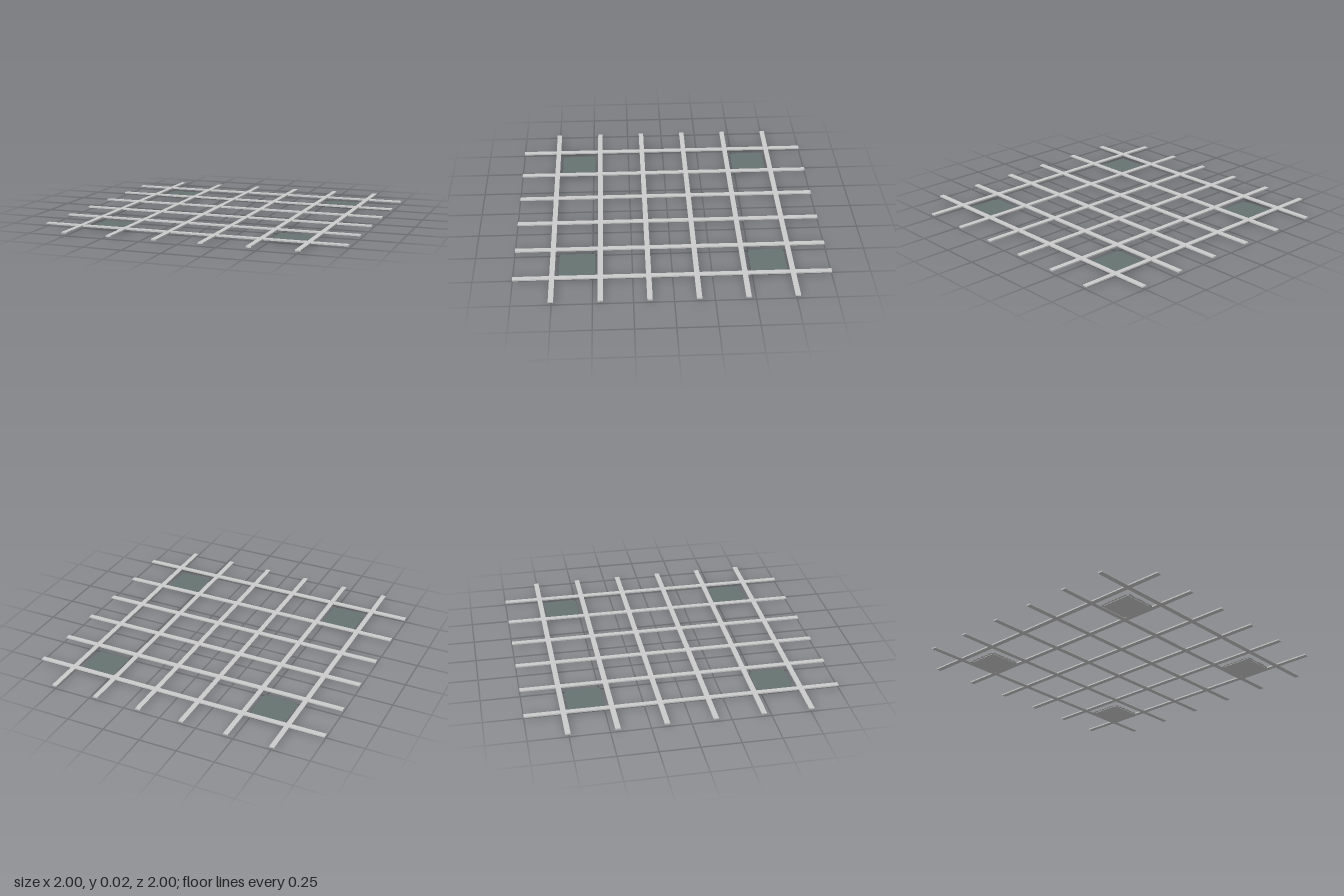
import * as THREE from 'three';

export function createModel() {
  const model = new THREE.Group();
  const grey = new THREE.MeshStandardMaterial({ color: 0xcccccc });
  const green = new THREE.MeshStandardMaterial({ color: 0x657370 });

  const barWidth = 0.033, barHeight = 0.009, barY = 0.0195;
  const spacing = 0.302, shiftZ = -0.001;
  const offsets = [-2.5, -1.5, -0.5, 0.5, 1.5, 2.5].map((i) => i * spacing);

  // Flat lattice: full-length bars across, short bars filling the gaps between them
  const lattice = new THREE.Group();
  lattice.name = 'lattice';
  const addBar = (name, width, depth, x, z) => {
    const bar = new THREE.Mesh(new THREE.BoxGeometry(width, barHeight, depth), grey);
    bar.name = name;
    bar.position.set(x, barY, z);
    lattice.add(bar);
  };
  const rows = offsets.map((o) => o + shiftZ);
  rows.forEach((z) => addBar('crossBar', 2, barWidth, 0, z));
  const starts = [-1, ...rows.map((z) => z + barWidth / 2)];
  const ends = [...rows.map((z) => z - barWidth / 2), 1];
  for (const x of offsets) {
    starts.forEach((z0, i) => addBar('lengthBar', barWidth, ends[i] - z0, x, (z0 + ends[i]) / 2));
  }
  model.add(lattice);

  // Rounded square plate lying flat, h = half its side
  const plate = (h, r, thickness) => {
    const outline = new THREE.Shape();
    outline.moveTo(h - r, -h);
    outline.absarc(h - r, -h + r, r, -Math.PI / 2, 0);
    outline.absarc(h - r, h - r, r, 0, Math.PI / 2);
    outline.absarc(-h + r, h - r, r, Math.PI / 2, Math.PI);
    outline.absarc(-h + r, -h + r, r, Math.PI, Math.PI * 1.5);
    outline.closePath();
    return new THREE.ExtrudeGeometry(outline, { depth: thickness, bevelEnabled: false, curveSegments: 5 })
      .rotateX(-Math.PI / 2);
  };

  // Thin pads in the four corner cells: inset grey foot, grey backing, green top
  const layers = [
    ['foot', plate(0.102, 0.015, 0.003), grey, 0],
    ['backing', plate(0.115, 0.022, 0.001), grey, 0.003],
    ['top', plate(0.115, 0.022, 0.001), green, 0.004],
  ];
  for (const [name, x, z] of [
    ['padBackRight', -0.6, -0.607], ['padBackLeft', 0.604, -0.612],
    ['padFrontRight', -0.6, 0.603], ['padFrontLeft', 0.604, 0.598],
  ]) {
    const pad = new THREE.Group();
    pad.name = name;
    pad.position.set(x, 0, z);
    for (const [layerName, geometry, material, y] of layers) {
      const layer = new THREE.Mesh(geometry, material);
      layer.name = layerName;
      layer.position.y = y;
      pad.add(layer);
    }
    model.add(pad);
  }
  return model;
}
